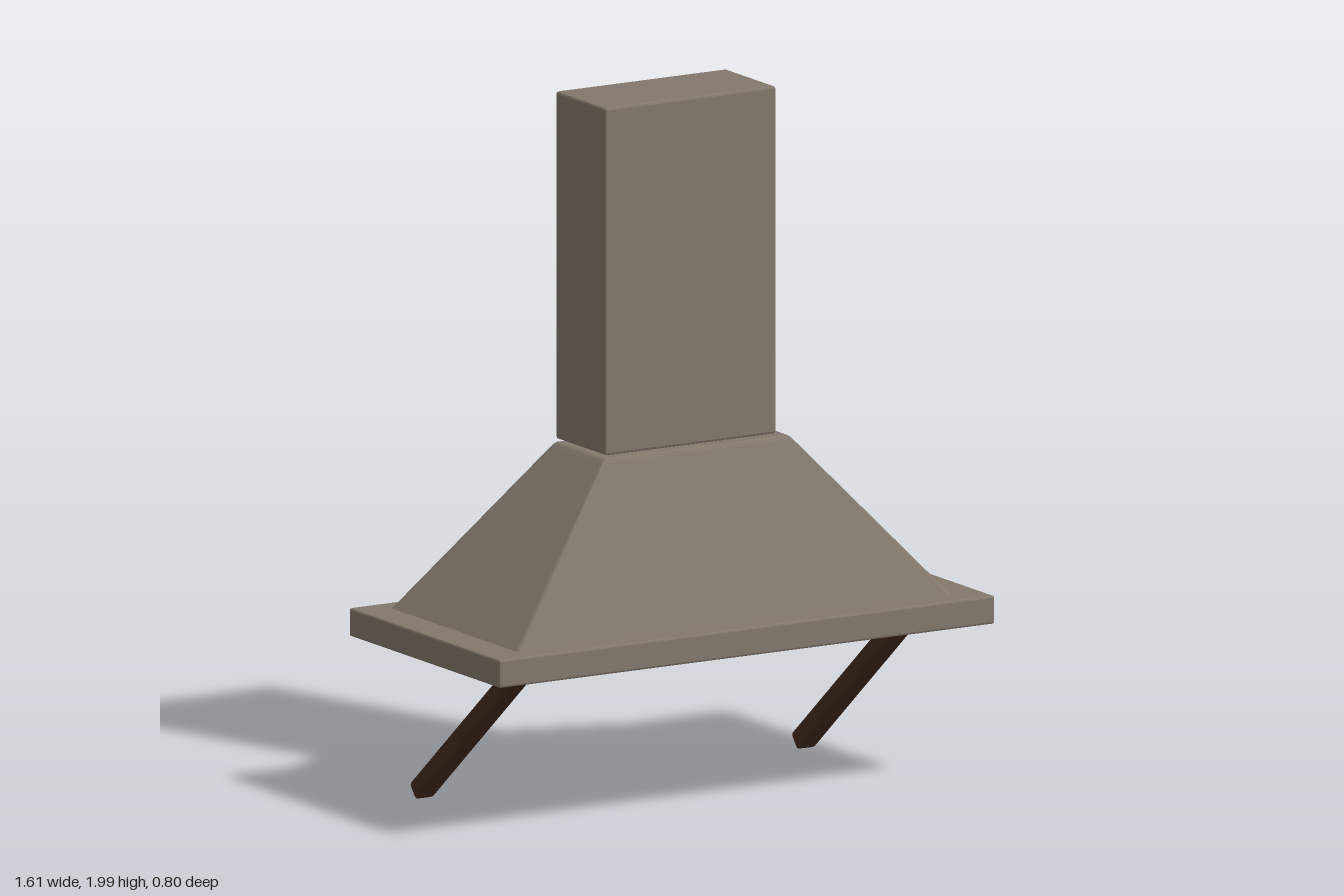
import * as THREE from 'three';
import { RoundedBoxGeometry } from 'three/addons/geometries/RoundedBoxGeometry.js';

export function createModel() {
  const model = new THREE.Group();
  model.name = 'rangeHood';

  const metal = new THREE.MeshStandardMaterial({ color: 0x82786c, flatShading: true });
  metal.name = 'warm grey metal';
  const wood = new THREE.MeshStandardMaterial({ color: 0x452c20, flatShading: true });
  wood.name = 'dark brown wood';

  // Box with a single chamfer on every edge
  const bevelBox = (w, h, d, bevel) => new RoundedBoxGeometry(w, h, d, 1, bevel);

  function add(name, geometry, material, x, y, z) {
    const mesh = new THREE.Mesh(geometry, material);
    mesh.name = name;
    mesh.position.set(x, y, z);
    model.add(mesh);
    return mesh;
  }

  // Flat rim slab
  add('rim', bevelBox(1.61, 0.08, 0.8, 0.006), metal, 0, 0.51, 0);

  // Canopy: a bevelled box narrowed linearly towards its top
  const bottom = 0.535, top = 1.014, height = top - bottom;
  const canopy = bevelBox(1.44, height, 0.692, 0.012);
  const p = canopy.attributes.position;
  for (let i = 0; i < p.count; i++) {
    const t = p.getY(i) / height + 0.5;
    p.setX(i, p.getX(i) * THREE.MathUtils.lerp(1, 0.6 / 1.44, t));
    p.setZ(i, p.getZ(i) * THREE.MathUtils.lerp(1, 0.265 / 0.692, t));
  }
  canopy.computeVertexNormals();
  add('canopy', canopy, metal, 0, (bottom + top) / 2, 0);

  // Chimney, set slightly towards the back
  add('chimney', bevelBox(0.555, 0.986, 0.265, 0.007), metal, 0, 1.507, -0.032);

  // Pair of slanted struts running down to the back
  const start = new THREE.Vector2(0.225, 0.475), end = new THREE.Vector2(-0.32, 0.025);
  const dir = end.clone().sub(start);
  for (const side of [-1, 1]) {
    const strut = add(side > 0 ? 'leftStrut' : 'rightStrut',
      bevelBox(0.06, 0.053, dir.length(), 0.009), wood,
      side * 0.62, (start.y + end.y) / 2, (start.x + end.x) / 2);
    strut.rotation.x = -Math.atan2(dir.y, dir.x) + Math.PI;
  }

  return model;
}
